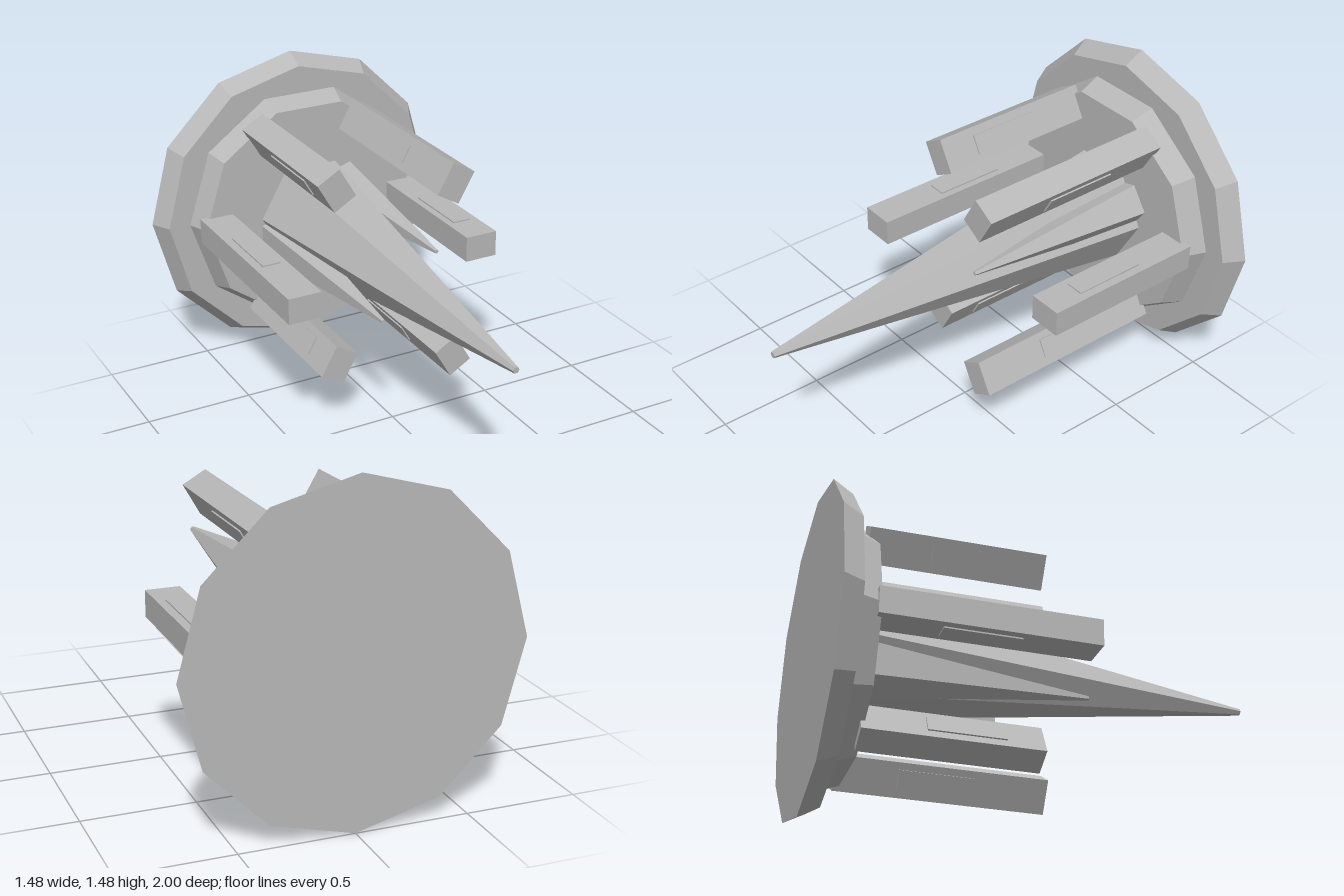
import * as THREE from 'three';

const CENTRE_Y = 0.74;

export function createModel() {
  const model = new THREE.Group();
  model.name = 'spikedEmitter';
  const grey = new THREE.MeshStandardMaterial({ color: 0xb8b8b8 });
  grey.name = 'plain grey';
  grey.flatShading = true;

  // everything is built around the z axis, then lifted to stand on y = 0
  const assembly = new THREE.Group();
  assembly.name = 'assembly';
  assembly.position.y = CENTRE_Y;
  model.add(assembly);

  const addMesh = (name, geometry, parent) => {
    const mesh = new THREE.Mesh(geometry, grey);
    mesh.name = name;
    parent.add(mesh);
    return mesh;
  };

  // tapered prism along z, with its first corner on +x
  const taper = (name, sides, backR, frontR, zBack, zFront, x = 0, y = 0) => {
    const g = new THREE.CylinderGeometry(frontR, backR, zFront - zBack, sides, 1, false, Math.PI / 2);
    g.rotateX(Math.PI / 2);
    addMesh(name, g, assembly).position.set(x, y, (zBack + zFront) / 2);
  };

  // stepped base
  taper('baseDisc', 12, 0.738, 0.688, -1, -0.908);
  taper('upperDisc', 10, 0.585, 0.545, -0.908, -0.803);

  // large central spike and two small ones growing beside it
  taper('mainSpike', 6, 0.26, 0.015, -0.803, 1);
  taper('smallSpikeUpper', 5, 0.115, 0.01, -0.803, 0.085, 0.175, 0.098);
  taper('smallSpikeLower', 5, 0.13, 0.01, -0.803, 0.205, -0.157, -0.11);

  // ring of prongs, alternately short and long
  const zStart = -0.823;
  for (let i = 0; i < 6; i++) {
    const prong = new THREE.Group();
    prong.name = 'prong' + (i + 1);
    prong.rotation.z = (i * Math.PI) / 3;
    assembly.add(prong);

    const zEnd = i % 2 ? 0.125 : -0.045;
    addMesh('prongBar', new THREE.BoxGeometry(0.156, 0.12, zEnd - zStart), prong)
      .position.set(0.488, 0, (zStart + zEnd) / 2);

    // thin raised panels on both flanks
    for (const side of [-1, 1]) {
      addMesh('prongPanel', new THREE.BoxGeometry(0.086, 0.009, 0.335), prong)
        .position.set(0.485, side * 0.062, -0.379);
    }
  }
  return model;
}
